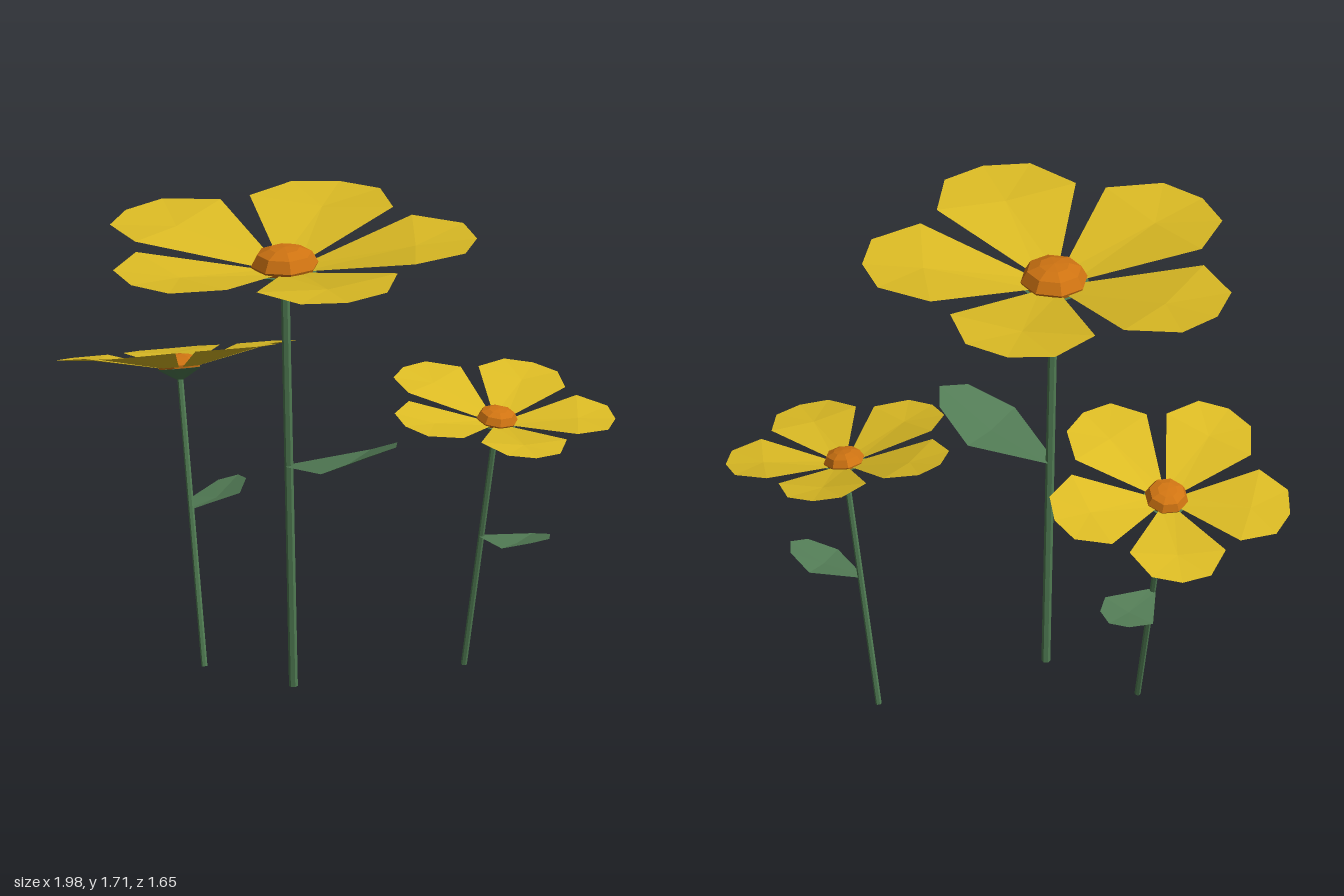
import * as THREE from 'three';

const paint = (name, color, more = {}) => {
  const m = new THREE.MeshStandardMaterial({ color, flatShading: true, ...more });
  m.name = name;
  return m;
};

// Symmetric blade pointing along +x: a fan of facets around a middle point.
// side: [along, height, halfWidth] from base to shoulder
function bladeGeometry(side, tip, middle) {
  const ring = [
    ...side.map(([a, h, w]) => [a, h, w]),
    tip,
    ...side.slice().reverse().map(([a, h, w]) => [a, h, -w]),
  ];
  const pos = [];
  ring.forEach((p, i) => pos.push(...middle, ...p, ...ring[(i + 1) % ring.length]));
  const g = new THREE.BufferGeometry();
  g.setAttribute('position', new THREE.Float32BufferAttribute(pos, 3));
  g.computeVertexNormals();
  return g;
}

function lathe(points, sides) {
  return new THREE.LatheGeometry(points.map(([r, y]) => new THREE.Vector2(r, y)), sides);
}

export function createModel() {
  const yellow = paint('petal yellow', 0xdcbb24, { side: THREE.DoubleSide });
  const orange = paint('centre orange', 0xd07412);
  const green = paint('stem green', 0x4f7a52);
  const leafGreen = paint('leaf green', 0x527b55, { side: THREE.DoubleSide });

  const petalGeo = bladeGeometry(
    [[0.06, 0.062, 0.036], [0.463, 0.16, 0.268], [0.645, 0.16, 0.165]],
    [0.69, 0.158, 0], [0.47, 0.137, 0]);
  const leafGeo = bladeGeometry(
    [[0, 0, 0.02], [0.25, 0.06, 0.158], [0.41, 0.135, 0.095]],
    [0.47, 0.155, 0], [0.25, 0.045, 0]);
  const calyxGeo = lathe([[0, 0], [0.02, 0], [0.128, 0.062], [0, 0.066]], 8);
  const centreGeo = lathe(
    [[0.112, 0.055], [0.123, 0.08], [0.1, 0.122], [0.055, 0.14], [0, 0.145]], 8);

  const model = new THREE.Group();
  model.name = 'flowers';

  function add(parent, geo, mat, name) {
    const mesh = new THREE.Mesh(geo, mat);
    mesh.name = name;
    parent.add(mesh);
    return mesh;
  }

  function flower(name, base, top, size, headTurn, leafTurn, stemRadius) {
    const from = new THREE.Vector3(...base);
    const axis = new THREE.Vector3(...top).sub(from);
    const length = axis.length();

    // Everything on one flower follows the lean of its stem
    const plant = new THREE.Group();
    plant.name = name;
    plant.position.copy(from);
    plant.quaternion.setFromUnitVectors(new THREE.Vector3(0, 1, 0), axis.clone().normalize());
    model.add(plant);

    const stem = add(plant,
      new THREE.CylinderGeometry(stemRadius, stemRadius, length + 0.01, 6), green, 'stem');
    stem.position.y = length / 2 + 0.005;

    const leaf = add(plant, leafGeo, leafGreen, 'leaf');
    leaf.position.y = length * 0.55;
    leaf.rotation.y = leafTurn;
    leaf.scale.setScalar(size);

    const head = new THREE.Group();
    head.name = 'flowerHead';
    head.position.y = length;
    head.rotation.y = headTurn;
    head.scale.setScalar(size);
    plant.add(head);
    add(head, calyxGeo, green, 'calyx');
    add(head, centreGeo, orange, 'flowerCentre');
    for (let i = 0; i < 5; i++) {
      add(head, petalGeo, yellow, 'petal').rotation.y = Math.PI / 5 + (i * Math.PI * 2) / 5;
    }
  }

  flower('tallFlower', [0.09, 0, 0.1], [0.09, 1.52, 0.152], 1, 0, 0, 0.016);
  flower('rightFlower', [-0.302, 0, 0.093], [-0.537, 0.985, -0.095], 0.65, 0.38, 1.57, 0.011);
  flower('leftFlower', [0.446, 0, -0.457], [0.607, 0.915, -0.423], 0.61, 0, 0, 0.011);

  return model;
}
